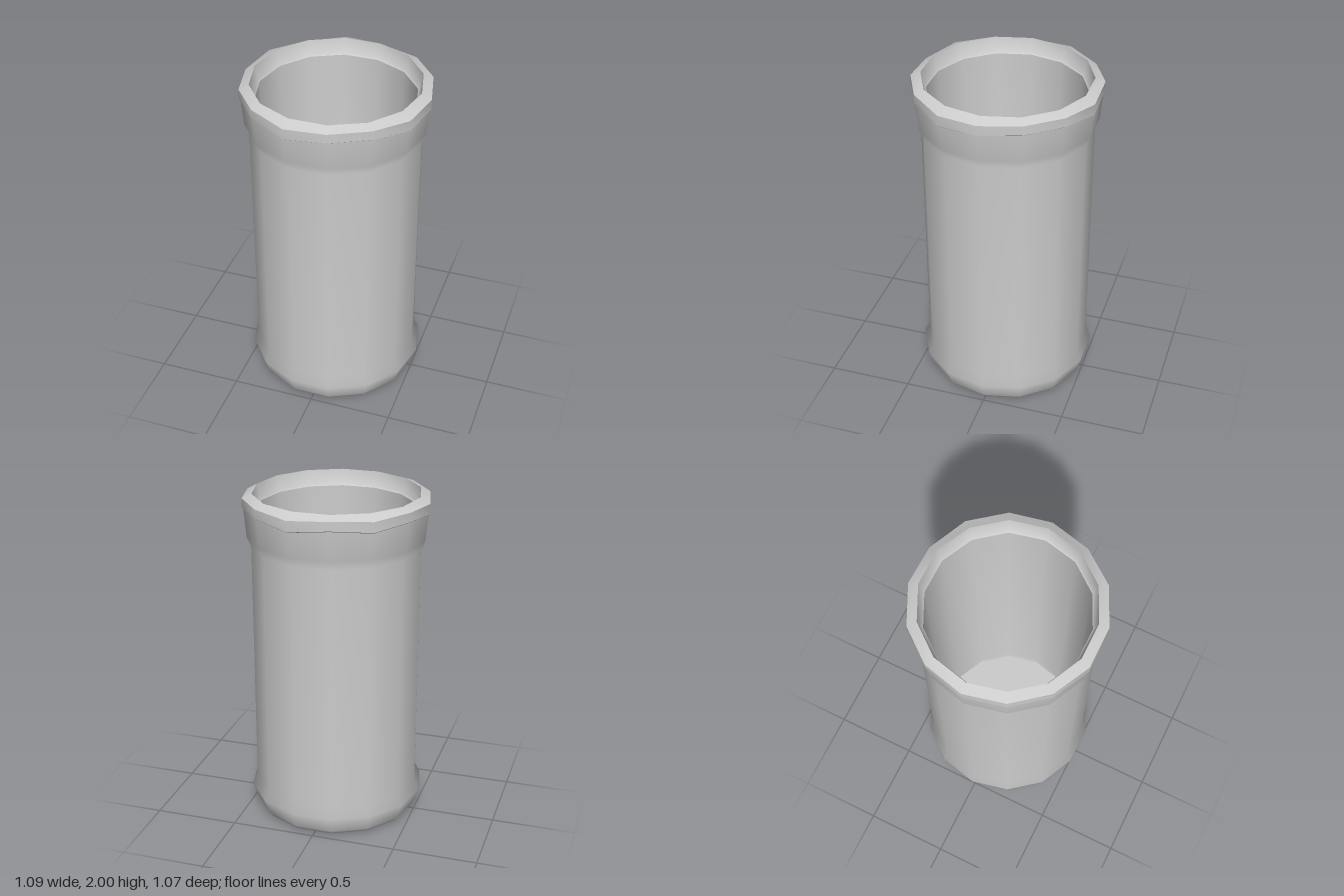
import * as THREE from 'three';
import { toCreasedNormals } from 'three/addons/utils/BufferGeometryUtils.js';

const SIDES = 14;
// height offsets of the uneven rim edge, one per side, running from +x towards -z
const WAVE = [-0.005, 0.008, 0.008, -0.017, 0.01, -0.01, 0.01, -0.01, 0.002, 0.012, -0.015, 0.008, 0.012, -0.017];

// Turn a profile of [radius, height, waviness] and apply the uneven edge
function turned(profile) {
  const points = profile.map(([r, y]) => new THREE.Vector2(r, y));
  const geo = new THREE.LatheGeometry(points, SIDES, Math.PI / 2, Math.PI * 2);
  const pos = geo.attributes.position;
  for (let i = 0; i <= SIDES; i++) {
    profile.forEach(([, y, wave = 0], j) => {
      pos.setY(i * profile.length + j, y + wave * WAVE[i % SIDES]);
    });
  }
  return geo;
}

export function createModel() {
  const grey = new THREE.MeshStandardMaterial({ color: 0xcccccc });
  grey.name = 'light grey';
  const group = new THREE.Group();
  group.name = 'jar';
  const add = (name, geo) => {
    const mesh = new THREE.Mesh(geo, grey);
    mesh.name = name;
    group.add(mesh);
    return mesh;
  };

  // outer wall with rounded foot and flared neck
  add('outerWall', turned([
    [0, 0], [0.44, 0], [0.475, 0.015], [0.495, 0.04], [0.53, 0.14], [0.5, 0.2],
    [0.5, 1.69], [0.525, 1.745], [0.54, 1.91, 1],
  ]));

  // raised lip: vertical band and sloping top
  add('rim', toCreasedNormals(turned([
    [0.54, 1.91, 1], [0.547, 1.915, 1], [0.547, 1.972, 0.6], [0.49, 2],
  ]), 0.7));

  // inner wall with a small ledge below the mouth
  add('innerWall', toCreasedNormals(turned([
    [0.49, 2], [0.472, 1.915], [0.462, 1.905], [0.434, 0.12], [0.428, 0.08],
  ]), 0.7));

  // inside floor
  const floor = add('floor', new THREE.CircleGeometry(0.428, SIDES));
  floor.rotation.x = -Math.PI / 2;
  floor.position.y = 0.08;

  return group;
}
